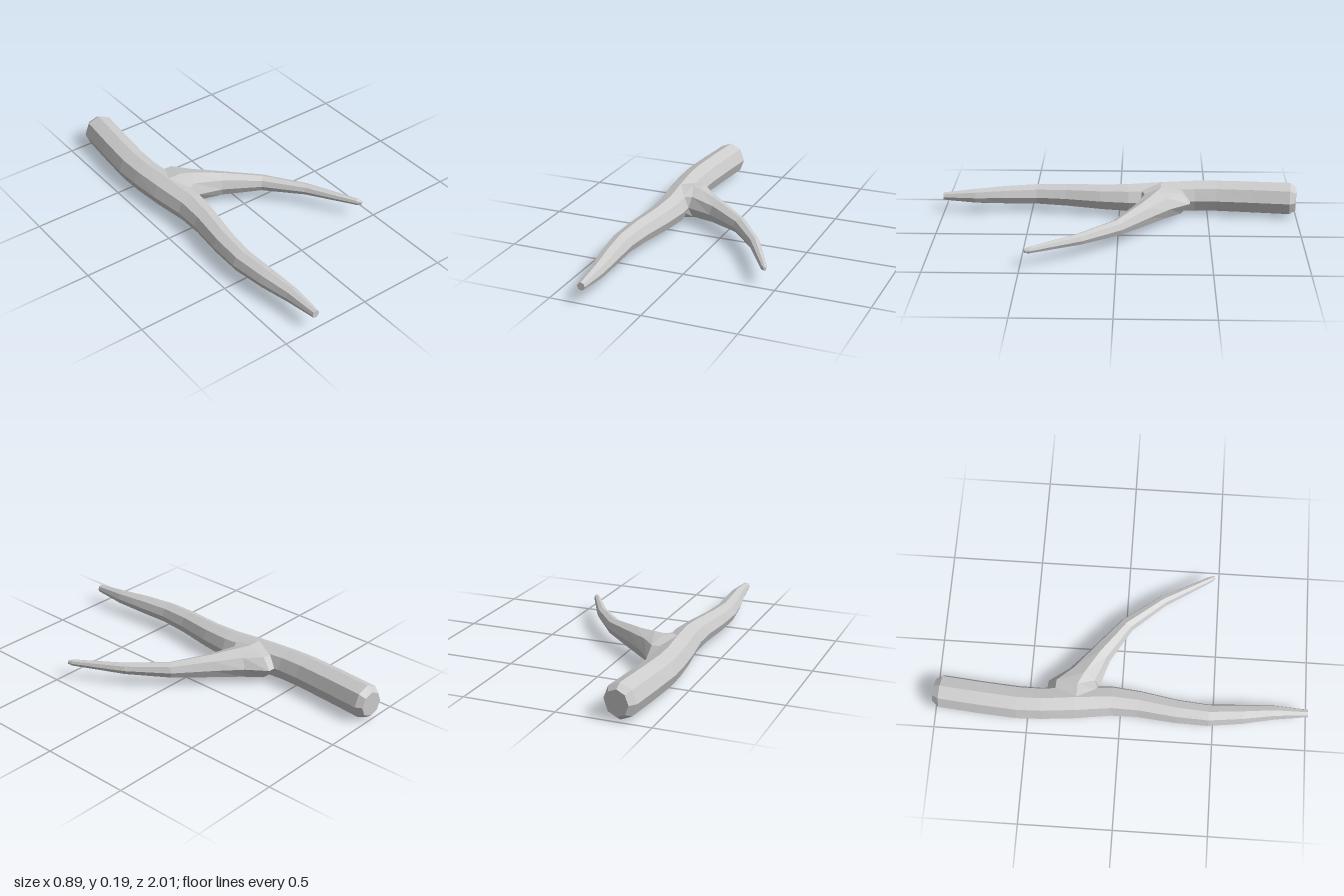
import * as THREE from 'three';

const SIDES = 8;
const AXIS_Y = 0.096;

// Closed faceted limb from sections [x, z, half width, half height]
function limb(name, sections, material) {
  const pos = [], index = [];
  const n = sections.length;
  sections.forEach(([x, z, w, h], i) => {
    const p = sections[Math.max(i - 1, 0)];
    const q = sections[Math.min(i + 1, n - 1)];
    const t = new THREE.Vector2(q[0] - p[0], q[1] - p[1]).normalize();
    for (let j = 0; j < SIDES; j++) {
      const a = (j / SIDES) * Math.PI * 2;
      const c = Math.cos(a) * w;
      pos.push(x + t.y * c, AXIS_Y + Math.sin(a) * h, z - t.x * c);
    }
  });
  for (let i = 0; i < n - 1; i++) {
    for (let j = 0; j < SIDES; j++) {
      const k = (j + 1) % SIDES;
      const a = i * SIDES + j, b = i * SIDES + k;
      index.push(a, b, b + SIDES, a, b + SIDES, a + SIDES);
    }
  }
  // End caps
  const last = (n - 1) * SIDES;
  for (let j = 1; j < SIDES - 1; j++) {
    index.push(0, j + 1, j, last, last + j, last + j + 1);
  }
  const indexed = new THREE.BufferGeometry();
  indexed.setAttribute('position', new THREE.Float32BufferAttribute(pos, 3));
  indexed.setIndex(index);
  const geometry = indexed.toNonIndexed();
  geometry.computeVertexNormals();
  const mesh = new THREE.Mesh(geometry, material);
  mesh.name = name;
  return mesh;
}

export function createModel() {
  const group = new THREE.Group();
  group.name = 'forkedStick';
  const wood = new THREE.MeshStandardMaterial({ color: 0xcccccc, flatShading: true });

  // Main stem, from the blunt bevelled back end to the narrow front tip
  const stem = [
    [-0.32, -1.0, 0.066, 0.07],
    [-0.325, -0.965, 0.09, 0.095],
    [-0.345, -0.75, 0.09, 0.094],
    [-0.36, -0.55, 0.09, 0.092],
    [-0.358, -0.42, 0.087, 0.091],
    [-0.34, -0.25, 0.09, 0.089],
    [-0.32, -0.05, 0.082, 0.082],
    [-0.328, 0.1, 0.073, 0.075],
    [-0.355, 0.3, 0.065, 0.067],
    [-0.365, 0.47, 0.06, 0.06],
    [-0.348, 0.65, 0.053, 0.053],
    [-0.327, 0.82, 0.039, 0.042],
    [-0.32, 1.0, 0.021, 0.022],
  ];
  group.add(limb('stem', stem, wood));

  // Side branch, flared where it joins the stem and curving forward to a point
  const branch = [
    [-0.345, -0.235, 0.17, 0.087],
    [-0.262, -0.235, 0.165, 0.086],
    [-0.197, -0.205, 0.096, 0.083],
    [-0.06, -0.125, 0.061, 0.068],
    [0.12, 0.005, 0.042, 0.045],
    [0.275, 0.195, 0.031, 0.032],
    [0.422, 0.45, 0.017, 0.018],
    [0.436, 0.472, 0.008, 0.01],
  ];
  group.add(limb('branch', branch, wood));
  return group;
}
